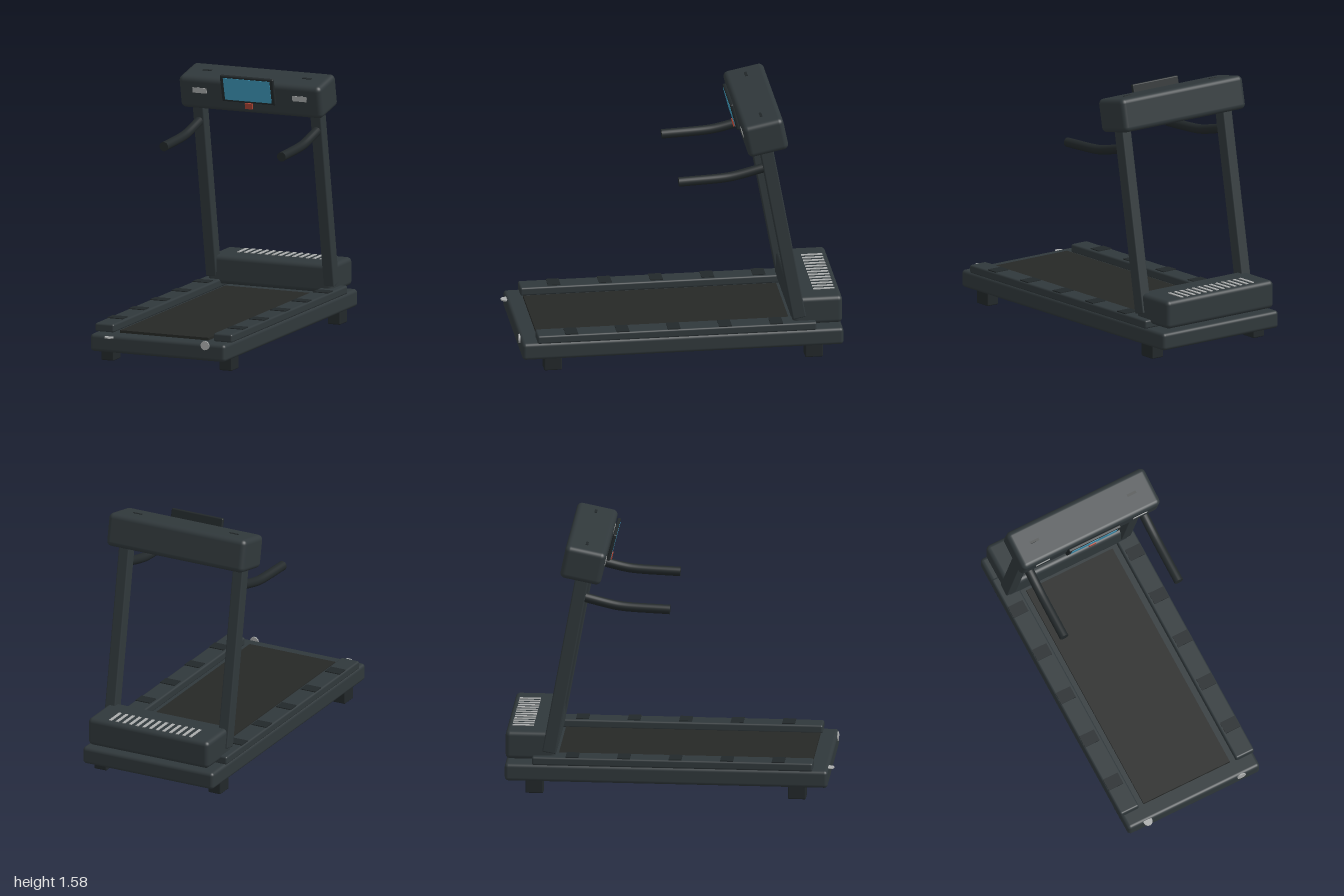
import * as THREE from 'three';
import { RoundedBoxGeometry } from 'three/addons/geometries/RoundedBoxGeometry.js';

const paint = (color) => new THREE.MeshStandardMaterial({ color });

export function createModel() {
  const model = new THREE.Group();
  model.name = 'treadmill';
  const body = paint(0x30383b), dark = paint(0x22282a), belt = paint(0x262826);
  const silver = paint(0xabadad), blue = paint(0x3d98ba), red = paint(0xa94434);

  const add = (parent, name, geometry, material, x, y, z, tilt = 0) => {
    const mesh = new THREE.Mesh(geometry, material);
    mesh.name = name;
    mesh.position.set(x, y, z);
    mesh.rotation.x = tilt;
    parent.add(mesh);
    return mesh;
  };
  const box = (w, h, d) => new THREE.BoxGeometry(w, h, d);
  const round = (w, h, d, r) => new RoundedBoxGeometry(w, h, d, 4, r);

  // Deck and running belt
  add(model, 'deck', round(0.9, 0.108, 1.968, 0.022), body, 0, 0.131, -0.016);
  add(model, 'belt', box(0.59, 0.03, 1.55), belt, 0, 0.186, 0.09);

  // Motor hood with a row of vents
  add(model, 'motorHood', round(0.83, 0.175, 0.305, 0.028), body, 0, 0.293, -0.845);
  for (let i = 0; i < 13; i++) {
    add(model, 'vent', box(0.018, 0.008, 0.13), silver, (i - 6) * 0.0458, 0.381, -0.9);
  }

  // Parts that repeat on both sides
  for (const s of [1, -1]) {
    add(model, 'sideRail', round(0.125, 0.052, 1.71, 0.012), body, s * 0.394, 0.209, 0.022);
    for (let i = 0; i < 5; i++) {
      add(model, 'gripPad', box(0.1, 0.008, 0.078), dark, s * 0.4, 0.236, 0.667 - i * 0.314);
    }
    for (const z of [0.78, -0.82]) {
      add(model, 'foot', round(0.085, 0.09, 0.11, 0.008), dark, s * 0.393, 0.045, z);
    }
    add(model, 'post', round(0.07, 1.2, 0.082, 0.008), body, s * 0.392, 0.845, -0.625, 0.18);

    // Bent handlebar with closed ends
    const path = new THREE.CatmullRomCurve3([
      [-0.57, 1.255], [-0.5, 1.237], [-0.34, 1.198], [-0.27, 1.188], [0.005, 1.175],
    ].map(([z, y]) => new THREE.Vector3(s * 0.392, y, z)));
    add(model, 'handlebar', new THREE.TubeGeometry(path, 32, 0.029, 20), dark, 0, 0, 0);
    const cap = add(model, 'handlebarCap', new THREE.CircleGeometry(0.029, 20), dark, s * 0.392, 1.175, 0.005);
    cap.lookAt(path.getPoint(1).add(path.getTangent(1)));
  }

  // Silver end discs, one lying flat and one upright
  add(model, 'flatDisc', new THREE.CylinderGeometry(0.028, 0.028, 0.008, 24), silver, -0.32, 0.174, 0.972);
  add(model, 'uprightDisc', new THREE.CylinderGeometry(0.028, 0.028, 0.008, 24), silver, 0.32, 0.174, 0.972, Math.PI / 2);

  // Tilted console
  const console_ = new THREE.Group();
  console_.name = 'console';
  console_.position.set(0, 1.46, -0.521);
  console_.rotation.x = 0.2;
  model.add(console_);
  add(console_, 'consoleBody', round(0.945, 0.207, 0.252, 0.032), body, 0, 0, 0);
  for (const s of [1, -1]) {
    add(console_, 'consolePlate', box(0.094, 0.034, 0.008), silver, s * 0.332, 0.023, 0.125);
    add(console_, 'topSlot', box(0.06, 0.006, 0.016), dark, s * 0.332, 0.104, -0.005);
  }

  // Screen and safety key
  const screen = new THREE.Group();
  screen.name = 'screen';
  screen.position.set(0, 1.491, -0.37);
  screen.rotation.x = 0.25;
  model.add(screen);
  add(screen, 'screenFrame', round(0.355, 0.172, 0.022, 0.008), dark, 0, 0, 0);
  add(screen, 'display', box(0.31, 0.144, 0.006), blue, 0, 0, 0.01);
  add(model, 'safetyKey', box(0.047, 0.036, 0.016), red, 0, 1.389, -0.384, 0.2);

  return model;
}
